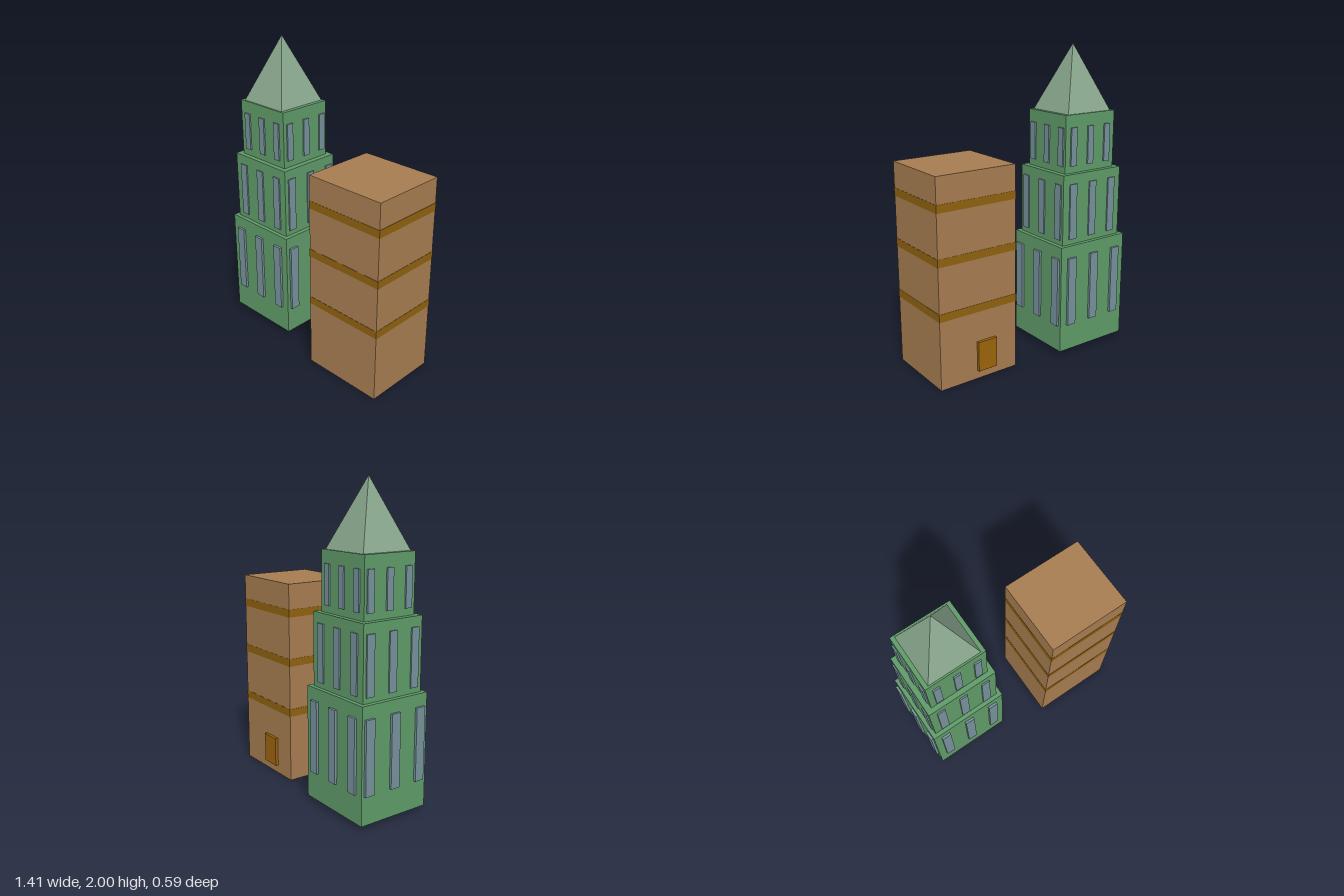
import * as THREE from 'three';

const mat = (color) => new THREE.MeshStandardMaterial({ color, flatShading: true });

export function createModel() {
  const green = mat(0x5f9a68), spireGreen = mat(0x88a68c), glass = mat(0x76919b);
  const brown = mat(0xa67c50), ochre = mat(0x8f6210), doorOrange = mat(0x9c640c);
  const model = new THREE.Group();

  const box = (parent, name, material, size, pos) => {
    const mesh = new THREE.Mesh(new THREE.BoxGeometry(...size), material);
    mesh.name = name;
    mesh.position.set(...pos);
    parent.add(mesh);
    return mesh;
  };

  // Stepped tower, centred on its own axis
  const tower = new THREE.Group();
  tower.name = 'steppedTower';
  tower.position.set(-0.423, 0, -0.034);
  model.add(tower);

  // w, d: tier footprint; win: window width, bottom, top, spacings and projection
  const tiers = [
    { w: 0.534, d: 0.487, y0: 0.03, y1: 0.75, win: [0.064, 0.21, 0.67, 0.185, 0.19, 0.016] },
    { w: 0.476, d: 0.434, y0: 0.75, y1: 1.21, win: [0.056, 0.785, 1.147, 0.16, 0.165, 0.009] },
    { w: 0.402, d: 0.37, y0: 1.21, y1: 1.58, win: [0.047, 1.255, 1.5, 0.138, 0.14, 0.01] },
  ];
  tiers.forEach(({ w, d, y0, y1, win }, i) => {
    const tier = new THREE.Group();
    tier.name = `tier${i + 1}`;
    tower.add(tier);
    box(tier, 'tierWall', green, [w, y1 - y0, d], [0, (y0 + y1) / 2, 0]);
    // Three tall windows on each of the four faces
    const [ww, b, t, stepX, stepZ, out] = win;
    const y = (b + t) / 2, h = t - b;
    for (const side of [-1, 1]) {
      for (const k of [-1, 0, 1]) {
        box(tier, 'window', glass, [ww, h, out * 2], [k * stepX, y, side * d / 2]);
        box(tier, 'window', glass, [out * 2, h, ww], [side * w / 2, y, k * stepZ - 0.004]);
      }
    }
  });

  // Pyramid spire
  const spireGeo = new THREE.ConeGeometry(0.348 / Math.SQRT2, 0.42, 4);
  spireGeo.rotateY(Math.PI / 4);
  const spire = new THREE.Mesh(spireGeo, spireGreen);
  spire.name = 'spire';
  spire.position.y = 1.79;
  tower.add(spire);

  // Plain block building
  const block = new THREE.Group();
  block.name = 'blockBuilding';
  block.position.set(0.428, 0, 0.045);
  model.add(block);
  box(block, 'blockWall', brown, [0.55, 1.325, 0.5], [0, 0.6625, 0]);

  // Bands wrapping the block
  for (const y of [0.47, 0.81, 1.135]) {
    box(block, 'band', ochre, [0.553, 0.051, 0.503], [0, y, 0]);
  }

  // Back door
  box(block, 'door', doorOrange, [0.134, 0.195, 0.04], [-0.051, 0.153, -0.25]);

  return model;
}
